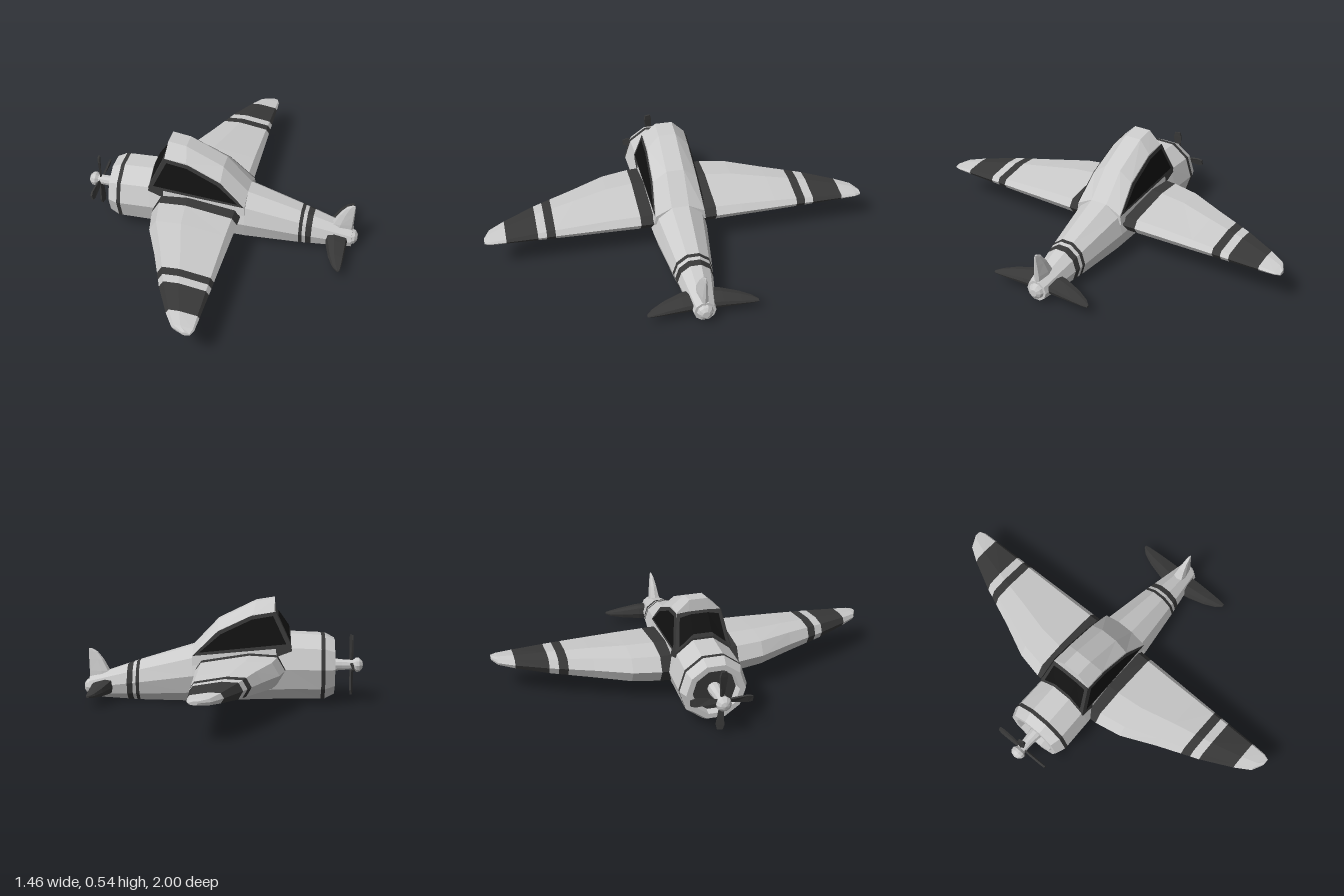
import * as THREE from 'three';

const GREY = 0xcccccc, DARK = 0x383838, BLACK = 0x121212;
const V = (x, y, z) => new THREE.Vector3(x, y, z);

function makeMesh(name, geo, color, parent, side = THREE.FrontSide) {
  const mesh = new THREE.Mesh(geo, new THREE.MeshStandardMaterial({ color, flatShading: true, side }));
  mesh.name = name;
  parent.add(mesh);
  return mesh;
}

function fromTriangles(tris) {
  const geo = new THREE.BufferGeometry().setFromPoints(tris.flat());
  geo.computeVertexNormals();
  return geo;
}

// Closed skin over a row of rings, with end caps; turned outward by its signed volume
function loft(name, rings, color, parent) {
  const tris = [], n = rings[0].length;
  const centre = r => r.reduce((s, p) => s.add(p), V(0, 0, 0)).divideScalar(n);
  const first = rings[0], last = rings[rings.length - 1], c0 = centre(first), c1 = centre(last);
  for (let j = 0; j < n; j++) {
    const k = (j + 1) % n;
    for (let i = 0; i + 1 < rings.length; i++) {
      const a = rings[i], b = rings[i + 1];
      tris.push([a[j], b[j], b[k]], [a[j], b[k], a[k]]);
    }
    tris.push([c0, first[j], first[k]], [c1, last[k], last[j]]);
  }
  const volume = tris.reduce((s, [a, b, c]) => s + a.dot(b.clone().cross(c)), 0);
  if (volume < 0) tris.forEach(t => t.reverse());
  return makeMesh(name, fromTriangles(tris), color, parent);
}

// Linear look-up in a table of stations [position, ...values]
function sample(table, s) {
  let i = 0;
  while (i < table.length - 2 && s > table[i + 1][0]) i++;
  const a = table[i], b = table[i + 1], t = (s - a[0]) / (b[0] - a[0]);
  return a.map((v, k) => v + (b[k] - v) * t);
}

// Loft a table in stretches of alternating colour
function stripedLoft(name, table, cuts, ring, parent) {
  for (let i = 0; i + 1 < cuts.length; i++) {
    const [from, color] = cuts[i], to = cuts[i + 1][0];
    const inner = table.map(r => r[0]).filter(s => s > from + 1e-4 && s < to - 1e-4);
    const rings = [from, ...inner, to].map(s => ring(sample(table, s)));
    loft(name + (color === DARK ? 'Stripe' : 'Section'), rings, color, parent);
  }
}

// Ten-sided fuselage section: x, bottom, top, half width
function bodyRing([x, y0, y1, w]) {
  return Array.from({ length: 10 }, (_, i) => {
    const a = (18 + i * 36) * Math.PI / 180;
    return V(x, (y0 + y1) / 2 + (y1 - y0) / 2 * Math.cos(a) / Math.cos(Math.PI / 10), w * Math.sin(a));
  });
}

// Eight-point aerofoil as [share of chord, share of half thickness]
const FOIL = [[0, 0], [0.09, 0.9], [0.4, 1], [0.94, 0.5], [1, 0], [0.94, -0.5], [0.4, -1], [0.09, -0.9]];
const foilRing = side => ([z, lead, trail, half, y]) =>
  FOIL.map(([u, h]) => V(lead + (trail - lead) * u, y + half * h, z * side));

// The flat plane in which the cabin side lies
const cabinZ = (x, y) => 0.131 - (y - 0.27) * 0.15 - 0.04 * x;

function sideWindow(name, outline, side, offset, color, parent) {
  const geo = new THREE.ShapeGeometry(new THREE.Shape(outline.map(p => new THREE.Vector2(...p))));
  const pos = geo.attributes.position;
  for (let i = 0; i < pos.count; i++) {
    pos.setZ(i, side * (cabinZ(pos.getX(i), pos.getY(i)) + offset));
  }
  geo.computeVertexNormals();
  makeMesh(name, geo, color, parent, THREE.DoubleSide);
}

function buildFuselage(parent) {
  const table = [
    [-0.53, 0.02, 0.353, 0.17], [-0.35, 0.018, 0.36, 0.167], [0.15, 0, 0.293, 0.142],
    [0.43, 0.002, 0.208, 0.102], [0.7, 0.015, 0.118, 0.055]
  ];
  stripedLoft('fuselage', table, [
    [-0.53, DARK], [-0.51, GREY], [0.43, DARK], [0.447, GREY], [0.465, DARK], [0.495, GREY], [0.7, GREY]
  ], bodyRing, parent);
  // Hollow cowl and dark engine face
  loft('cowl', [
    [-0.535, 0.075, 0.295, 0.115], [-0.58, 0.07, 0.3, 0.12],
    [-0.58, 0.045, 0.327, 0.15], [-0.53, 0.02, 0.353, 0.17]
  ].map(bodyRing), GREY, parent);
  loft('engineFace', [[-0.545, 0.078, 0.292, 0.11], [-0.535, 0.078, 0.292, 0.11]].map(bodyRing), DARK, parent);
  loft('tailCone', [
    [0.695, 0.025, 0.108, 0.044], [0.715, 0.032, 0.1, 0.036], [0.727, 0.048, 0.084, 0.018]
  ].map(bodyRing), GREY, parent);
}

function buildCabin(parent) {
  // Half section: bottom, shoulder and roof points, mirrored across z
  const ring = ([bx, by, sx, sy, tx, ty, tz]) => {
    const half = [V(bx, by, cabinZ(bx, by)), V(sx, sy, cabinZ(sx, sy)), V(tx, ty, tz)];
    return [...half, ...half.map(p => V(p.x, p.y, -p.z)).reverse()];
  };
  const sill = ring([-0.36, 0.28, -0.356, 0.3, -0.352, 0.37, 0.055]);
  const brow = ring([-0.28, 0.25, -0.275, 0.475, -0.275, 0.48, 0.05]);
  loft('windshieldFrame', [sill, brow], DARK, parent);
  loft('cabinSpine', [brow, ...[
    [-0.28, 0.25, -0.27, 0.475, -0.27, 0.54, 0.045],
    [-0.18, 0.25, -0.16, 0.462, -0.175, 0.525, 0.045],
    [0.02, 0.22, 0.02, 0.378, 0.02, 0.43, 0.045],
    [0.15, 0.2, 0.15, 0.25, 0.15, 0.293, 0.045]
  ].map(ring)], GREY, parent);

  // Windshield glass across the three front facets
  const row = t => [1, 2, 3, 4].map(i => {
    const p = sill[i].clone().lerp(brow[i], t);
    return V(p.x - 0.005, p.y + 0.004, p.z * 0.87);
  });
  const low = row(0.14), high = row(0.88), tris = [];
  for (let i = 0; i < 3; i++) {
    tris.push([low[i], high[i], high[i + 1]], [low[i], high[i + 1], low[i + 1]]);
  }
  makeMesh('windshieldGlass', fromTriangles(tris), BLACK, parent, THREE.DoubleSide);

  const frame = [[-0.36, 0.3], [-0.275, 0.478], [-0.15, 0.456], [0.02, 0.376], [0.15, 0.25]];
  const glass = [[-0.33, 0.316], [-0.262, 0.457], [-0.155, 0.438], [0.005, 0.362], [0.115, 0.268]];
  for (const side of [1, -1]) {
    sideWindow('sideWindowFrame', frame, side, 0.004, DARK, parent);
    sideWindow('sideWindowGlass', glass, side, 0.008, BLACK, parent);
  }
}

function buildWings(parent) {
  // z, leading edge, trailing edge, half thickness, height
  const wing = [
    [0.1, -0.33, 0.13, 0.08, 0.188], [0.2, -0.325, 0.128, 0.077, 0.188], [0.34, -0.297, 0.125, 0.072, 0.188],
    [0.52, -0.215, 0.121, 0.06, 0.187], [0.73, -0.13, 0.117, 0.043, 0.186], [0.89, -0.05, 0.113, 0.026, 0.184],
    [0.97, 0.0, 0.11, 0.016, 0.183], [1.0, 0.06, 0.098, 0.009, 0.182]
  ];
  const cuts = [
    [0.1, DARK], [0.2, GREY], [0.64, DARK], [0.685, GREY], [0.73, DARK], [0.89, GREY], [1, GREY]
  ];
  const tail = [
    [0.02, 0.56, 0.68, 0.038, 0.075], [0.1, 0.575, 0.682, 0.034, 0.073], [0.19, 0.603, 0.682, 0.022, 0.067],
    [0.25, 0.633, 0.68, 0.012, 0.062], [0.278, 0.66, 0.676, 0.005, 0.06]
  ];
  for (const side of [1, -1]) {
    const group = new THREE.Group();
    group.name = side > 0 ? 'leftWing' : 'rightWing';
    parent.add(group);
    stripedLoft('wing', wing, cuts, foilRing(side), group);
    loft('tailplane', tail.map(foilRing(side)), DARK, parent);
  }
  // Upright fin: height, leading edge, trailing edge, half thickness
  const fin = [
    [0.08, 0.57, 0.7, 0.032], [0.15, 0.592, 0.702, 0.028], [0.21, 0.625, 0.704, 0.018],
    [0.25, 0.657, 0.705, 0.01], [0.266, 0.685, 0.703, 0.005]
  ];
  loft('fin', fin.map(([y, a, b, h]) => FOIL.map(([u, t]) => V(a + (b - a) * u, y, h * t))), GREY, parent);
}

function buildPropeller(parent) {
  const prop = new THREE.Group();
  prop.name = 'propeller';
  prop.position.set(0, 0.19, 0);
  parent.add(prop);
  // Spinner and shaft turned about the x axis: radius, x
  const profile = [[0, -0.732], [0.022, -0.726], [0.037, -0.71], [0.038, -0.695], [0.026, -0.68],
    [0.028, -0.62], [0.034, -0.57], [0.034, -0.535]].map(p => new THREE.Vector2(...p));
  makeMesh('spinner', new THREE.LatheGeometry(profile, 10).rotateZ(-Math.PI / 2), GREY, prop);
  // Four slightly twisted blades
  for (let i = 0; i < 4; i++) {
    const rings = [[0.015, 0.008, 0.5], [0.06, 0.014, 0.4], [0.13, 0.021, 0.25], [0.155, 0.014, 0.2]]
      .map(([y, w, twist]) => [[1, 1], [1, -1], [-1, -1], [-1, 1]].map(([a, b]) => {
        const z = a * w, x = b * 0.005;
        return V(-0.67 + x * Math.cos(twist) + z * Math.sin(twist), y, z * Math.cos(twist) - x * Math.sin(twist));
      }));
    loft('blade', rings, DARK, prop).rotation.x = i * Math.PI / 2 + 0.06;
  }
}

export function createModel() {
  const model = new THREE.Group();
  model.name = 'propellerPlane';
  buildFuselage(model);
  buildCabin(model);
  buildWings(model);
  buildPropeller(model);
  return model;
}
